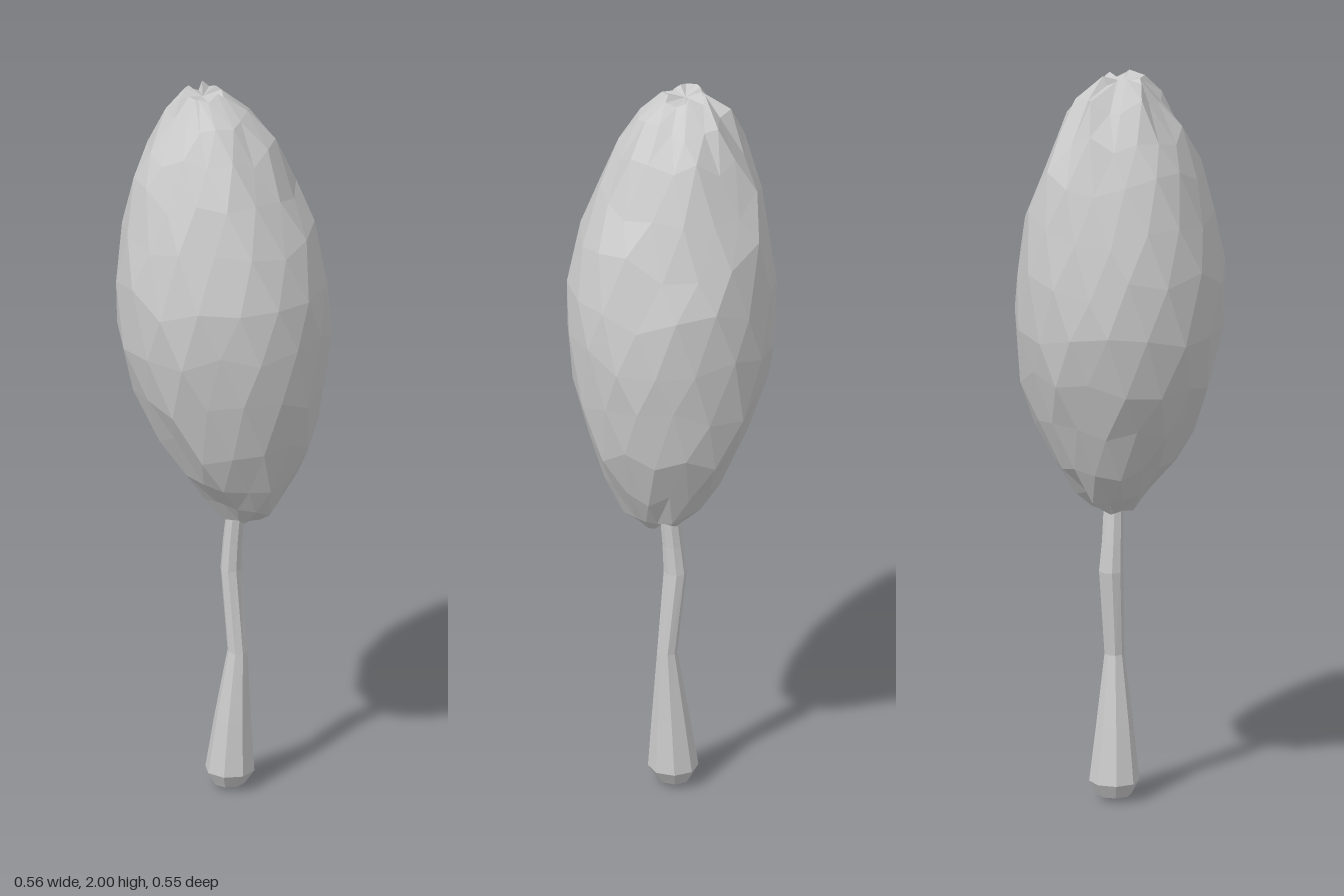
import * as THREE from 'three';

// Repeatable noise in -1..1
const noise = (i, j, k) => {
  const s = Math.sin(i * 127.1 + j * 311.7 + k * 74.7) * 43758.5453;
  return (s - Math.floor(s)) * 2 - 1;
};

// Faceted skin over rings [y, cx, cz, rx, rz, roughness, lift], closed at both ends.
// With stagger, every second ring is turned by half a step.
function loft(rings, sides, stagger, bottom, top) {
  const pos = [], index = [];
  rings.forEach(([y, cx, cz, rx, rz, rough = 0, lift = 0], i) => {
    for (let j = 0; j < sides; j++) {
      const turn = stagger && i % 2 ? 0.5 : 0;
      const a = ((j + turn + noise(i, j, 1) * rough * 2) / sides) * Math.PI * 2;
      const r = 1 + noise(i, j, 2) * rough;
      pos.push(cx + Math.cos(a) * rx * r, y + noise(i, j, 3) * lift, cz + Math.sin(a) * rz * r);
    }
  });
  for (let i = 0; i < rings.length - 1; i++) {
    for (let j = 0; j < sides; j++) {
      const n = (j + 1) % sides;
      const a = i * sides + j, b = i * sides + n, c = a + sides, d = b + sides;
      if (stagger && i % 2) index.push(a, c, d, a, d, b);
      else index.push(a, c, b, b, c, d);
    }
  }
  // End fans
  const low = pos.length / 3, high = low + 1, last = (rings.length - 1) * sides;
  pos.push(...bottom, ...top);
  for (let j = 0; j < sides; j++) {
    const n = (j + 1) % sides;
    index.push(low, j, n, high, last + n, last + j);
  }
  const geo = new THREE.BufferGeometry();
  geo.setAttribute('position', new THREE.Float32BufferAttribute(pos, 3));
  geo.setIndex(index);
  const flat = geo.toNonIndexed();
  flat.computeVertexNormals();
  return flat;
}

export function createModel() {
  const group = new THREE.Group();
  const material = new THREE.MeshStandardMaterial({ color: 0xcccccc, flatShading: true });

  const add = (name, geometry) => {
    const mesh = new THREE.Mesh(geometry, material);
    mesh.name = name;
    group.add(mesh);
  };

  // Crown: leaning egg, puckered at both tips
  add('crown', loft([
    [0.785, 0.05, -0.01, 0.05, 0.055, 0.2, 0.008],
    [0.83, 0.045, -0.01, 0.10, 0.10, 0.12, 0.02],
    [0.91, 0.038, -0.01, 0.155, 0.155, 0.05, 0.025],
    [1.03, 0.03, -0.01, 0.215, 0.212, 0.025, 0.03],
    [1.17, 0.015, -0.005, 0.255, 0.252, 0.02, 0.03],
    [1.32, 0.003, 0, 0.277, 0.273, 0.02, 0.03],
    [1.46, -0.001, 0, 0.278, 0.275, 0.02, 0.03],
    [1.60, -0.012, 0, 0.25, 0.247, 0.02, 0.03],
    [1.73, -0.023, -0.003, 0.213, 0.21, 0.025, 0.03],
    [1.84, -0.033, -0.002, 0.165, 0.164, 0.04, 0.025],
    [1.93, -0.043, 0, 0.112, 0.112, 0.12, 0.02],
    [1.985, -0.055, 0.003, 0.055, 0.055, 0.25, 0.015],
  ], 16, true, [0.05, 0.80, -0.01], [-0.055, 1.975, 0.005]));

  // Trunk: flared foot and a gentle bend, running up into the crown
  add('trunk', loft([
    [0.012, 0.012, -0.014, 0.042, 0.044],
    [0.05, 0.014, -0.014, 0.066, 0.066],
    [0.20, 0.022, -0.012, 0.049, 0.049],
    [0.39, 0.035, -0.012, 0.027, 0.026],
    [0.62, 0.015, -0.022, 0.028, 0.032],
    [0.70, 0.02, -0.018, 0.026, 0.028],
    [0.90, 0.04, -0.01, 0.022, 0.024],
  ], 8, false, [0.012, 0, -0.014], [0.042, 0.93, -0.01]));

  return group;
}
